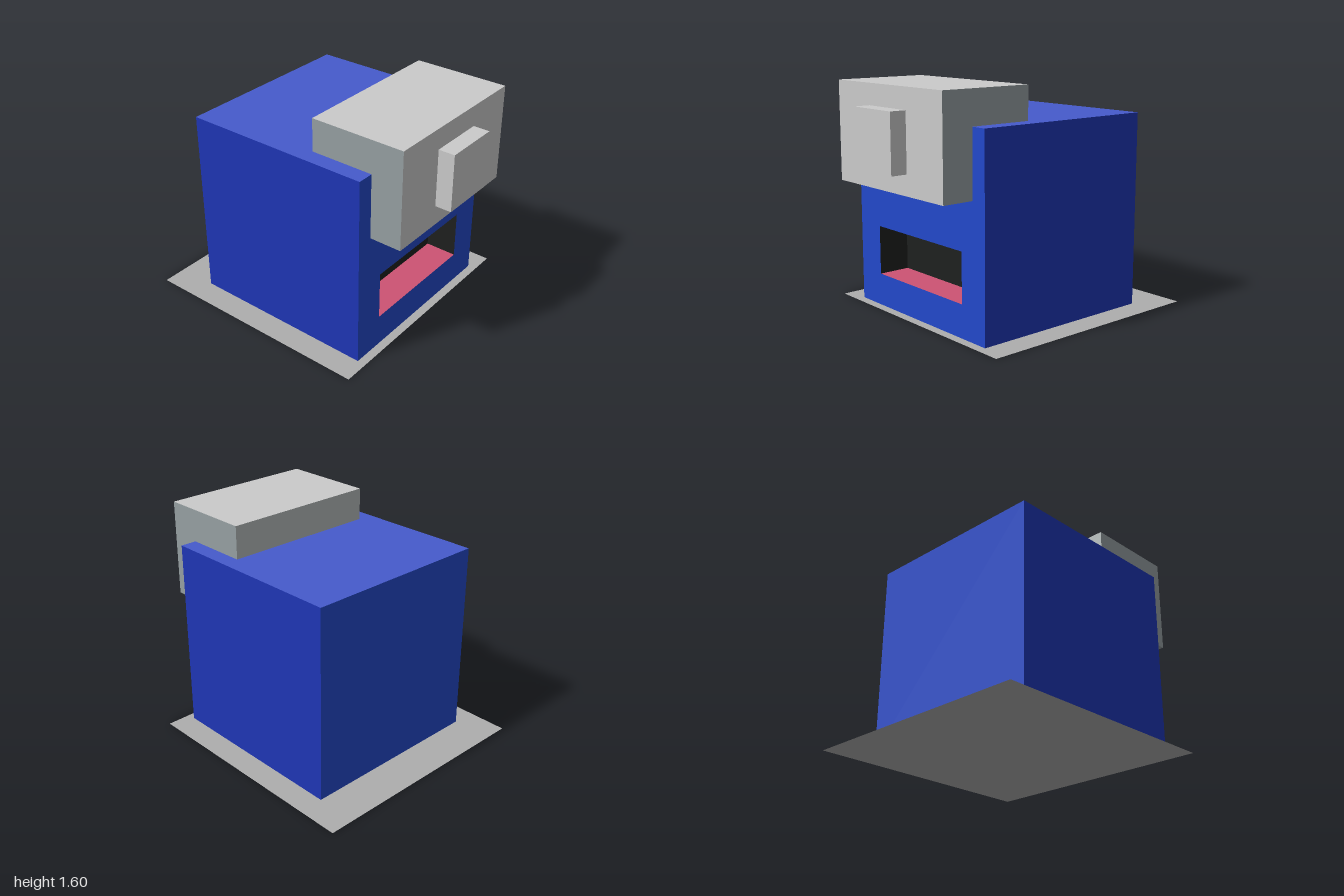
import * as THREE from 'three';

const BLUE = 0x2349cb, SIDE_BLUE = 0x1f36b6, TOP_BLUE = 0x465bcc;
const GREY = 0xcccccc, SIDE_GREY = 0x97a0a3, BACK_GREY = 0xb5bcbc;
const BLACK = 0x1e201f, PINK = 0xcd5373;

const mat = (color) => new THREE.MeshStandardMaterial({ color });

// Box made of one coloured panel per listed side; inward panels face the centre
function panelBox(name, [x0, x1], [y0, y1], [z0, z1], colors, inward = false) {
  const group = new THREE.Group();
  group.name = name;
  const w = x1 - x0, h = y1 - y0, d = z1 - z0;
  const sides = {
    left: [d, h, w, 0, Math.PI / 2],
    right: [d, h, w, 0, -Math.PI / 2],
    top: [w, d, h, -Math.PI / 2, 0],
    bottom: [w, d, h, Math.PI / 2, 0],
    front: [w, h, d, 0, 0],
    back: [w, h, d, 0, Math.PI],
  };
  for (const [side, color] of Object.entries(colors)) {
    const [pw, ph, depth, rx, ry] = sides[side];
    const geo = new THREE.PlaneGeometry(pw, ph);
    if (inward) geo.rotateY(Math.PI);
    geo.translate(0, 0, depth / 2).rotateX(rx).rotateY(ry);
    const panel = new THREE.Mesh(geo, mat(color));
    panel.name = `${name}${side[0].toUpperCase()}${side.slice(1)}`;
    group.add(panel);
  }
  group.position.set((x0 + x1) / 2, (y0 + y1) / 2, (z0 + z1) / 2);
  return group;
}

function rectPath(PathType, x, y0, y1) {
  const p = new PathType();
  p.moveTo(-x, y0);
  p.lineTo(x, y0);
  p.lineTo(x, y1);
  p.lineTo(-x, y1);
  p.closePath();
  return p;
}

export function createModel() {
  const model = new THREE.Group();
  model.name = 'boxCreature';

  // Ground sheet
  const ground = new THREE.Mesh(new THREE.PlaneGeometry(1.72, 1.72).rotateX(-Math.PI / 2), mat(GREY));
  ground.material.color.set(0xaeaeae);
  ground.material.side = THREE.DoubleSide;
  ground.position.z = -0.14;
  ground.name = 'groundSheet';
  model.add(ground);

  // Body cube, its front closed by a panel with the mouth cut out
  model.add(panelBox('body', [-0.685, 0.685], [0.002, 1.37], [-0.71, 0.66], {
    left: SIDE_BLUE, right: SIDE_BLUE, top: TOP_BLUE, bottom: SIDE_BLUE, back: BLUE,
  }));
  const face = rectPath(THREE.Shape, 0.685, 0.002, 1.37);
  face.holes.push(rectPath(THREE.Path, 0.458, 0.23, 0.575));
  const front = new THREE.Mesh(new THREE.ShapeGeometry(face), mat(BLUE));
  front.position.z = 0.66;
  front.name = 'bodyFront';
  model.add(front);

  // Mouth recess with a pink floor
  model.add(panelBox('mouth', [-0.458, 0.458], [0.23, 0.575], [0.43, 0.66], {
    left: BLACK, right: BLACK, top: BLACK, bottom: PINK, back: BLACK,
  }, true));

  // Eye block and the square pupil on its front
  model.add(panelBox('eyeBlock', [-0.57, 0.57], [0.915, 1.6], [0.205, 0.885], {
    left: SIDE_GREY, right: SIDE_GREY, top: GREY, bottom: SIDE_GREY, front: GREY, back: BACK_GREY,
  }));
  const pupil = new THREE.Mesh(new THREE.BoxGeometry(0.4, 0.4, 0.115), mat(GREY));
  pupil.position.set(0, 1.255, 0.9425);
  pupil.name = 'pupil';
  model.add(pupil);

  return model;
}
